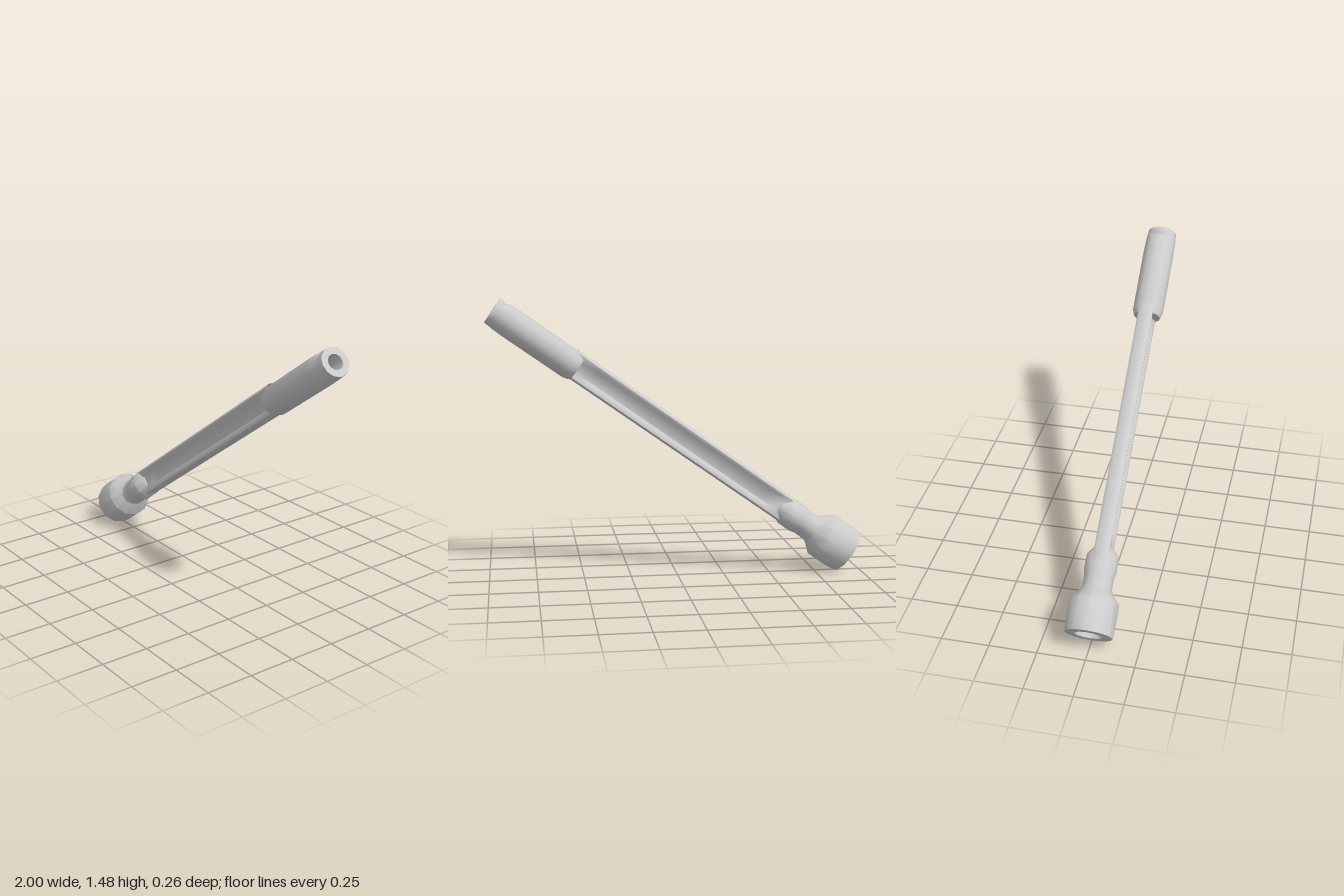
import * as THREE from 'three';
import { toCreasedNormals } from 'three/addons/utils/BufferGeometryUtils.js';

const material = new THREE.MeshStandardMaterial({ color: 0xcccccc, side: THREE.DoubleSide });

// Turned part along local +x; profile points are [distance along axis, radius]
function turned(name, profile, segments, squash = 1, offset = 0, rule) {
  const geo = new THREE.LatheGeometry(profile.map(([u, r]) => new THREE.Vector2(r, u)), segments);
  geo.rotateZ(-Math.PI / 2);
  const p = geo.attributes.position;
  for (let i = 0; i < p.count; i++) {
    if (rule) rule(p, i);
    p.setY(i, p.getY(i) * squash + offset);
  }
  const mesh = new THREE.Mesh(toCreasedNormals(geo, 0.8), material);
  mesh.name = name;
  return mesh;
}

// Shaft: I-shaped section lofted along x, the groove fading out at both ends
function shaft() {
  const half = [[0.075, 0.024], [0.063, 0.04], [0.048, 0.038], [0.03, 0.016],
    [-0.03, 0.016], [-0.046, 0.038], [-0.062, 0.04], [-0.073, 0.024]];
  const stations = [[0.38, 0], [0.45, 0], [0.5, 0.7], [0.56, 1], [1.2, 1], [1.68, 1], [1.76, 0.6], [1.82, 0]];
  const n = half.length * 2;
  const positions = [], index = [];
  for (const [u, groove] of stations) {
    const front = half.map(([v, z]) =>
      [u, v, Math.abs(v) < 0.04 ? THREE.MathUtils.lerp(0.039, z, groove) : z]);
    const back = front.map(([x, v, z]) => [x, v, -z]).reverse();
    positions.push(...front.flat(), ...back.flat());
  }
  for (let s = 0; s < stations.length - 1; s++) {
    for (let i = 0; i < n; i++) {
      const a = s * n + i, b = s * n + (i + 1) % n;
      index.push(a, b, a + n, b, b + n, a + n);
    }
  }
  const geo = new THREE.BufferGeometry();
  geo.setAttribute('position', new THREE.Float32BufferAttribute(positions, 3));
  geo.setIndex(index);
  const mesh = new THREE.Mesh(toCreasedNormals(geo, 0.9), material);
  mesh.name = 'groovedShaft';
  return mesh;
}

export function createModel() {
  const tool = new THREE.Group();
  tool.name = 'tool';

  // Hollow socket head
  tool.add(turned('socketHead', [[0.09, 0], [0.09, 0.055], [0, 0.072], [0, 0.124], [0.05, 0.128],
    [0.17, 0.128], [0.215, 0.09], [0.25, 0.07]], 12));

  // Neck flaring out to meet the shaft
  tool.add(turned('neck', [[0.2, 0.09], [0.24, 0.078], [0.3, 0.077], [0.33, 0.085],
    [0.41, 0.084], [0.46, 0.045], [0.46, 0]], 12, 0.94, -0.004));

  tool.add(shaft());

  // Grip with a hollow tip and a small nick on its upper side
  tool.add(turned('grip', [[1.775, 0], [1.775, 0.072], [1.81, 0.084], [2.18, 0.085], [2.245, 0.083],
    [2.262, 0.081], [2.282, 0.08], [2.3, 0.078], [2.3, 0.042], [2.2, 0.034], [2.2, 0]], 12, 0.95, -0.008,
  (p, i) => {
    const nick = Math.abs(p.getX(i) - 2.262) < 0.005 && p.getY(i) > 0.06;
    if (nick) p.setY(i, p.getY(i) * 0.84);
  }));

  // Lean the whole tool on its head
  tool.rotation.z = THREE.MathUtils.degToRad(35.2);
  tool.position.set(-0.928, 0.105, 0);

  const model = new THREE.Group();
  model.name = 'model';
  model.add(tool);
  return model;
}
